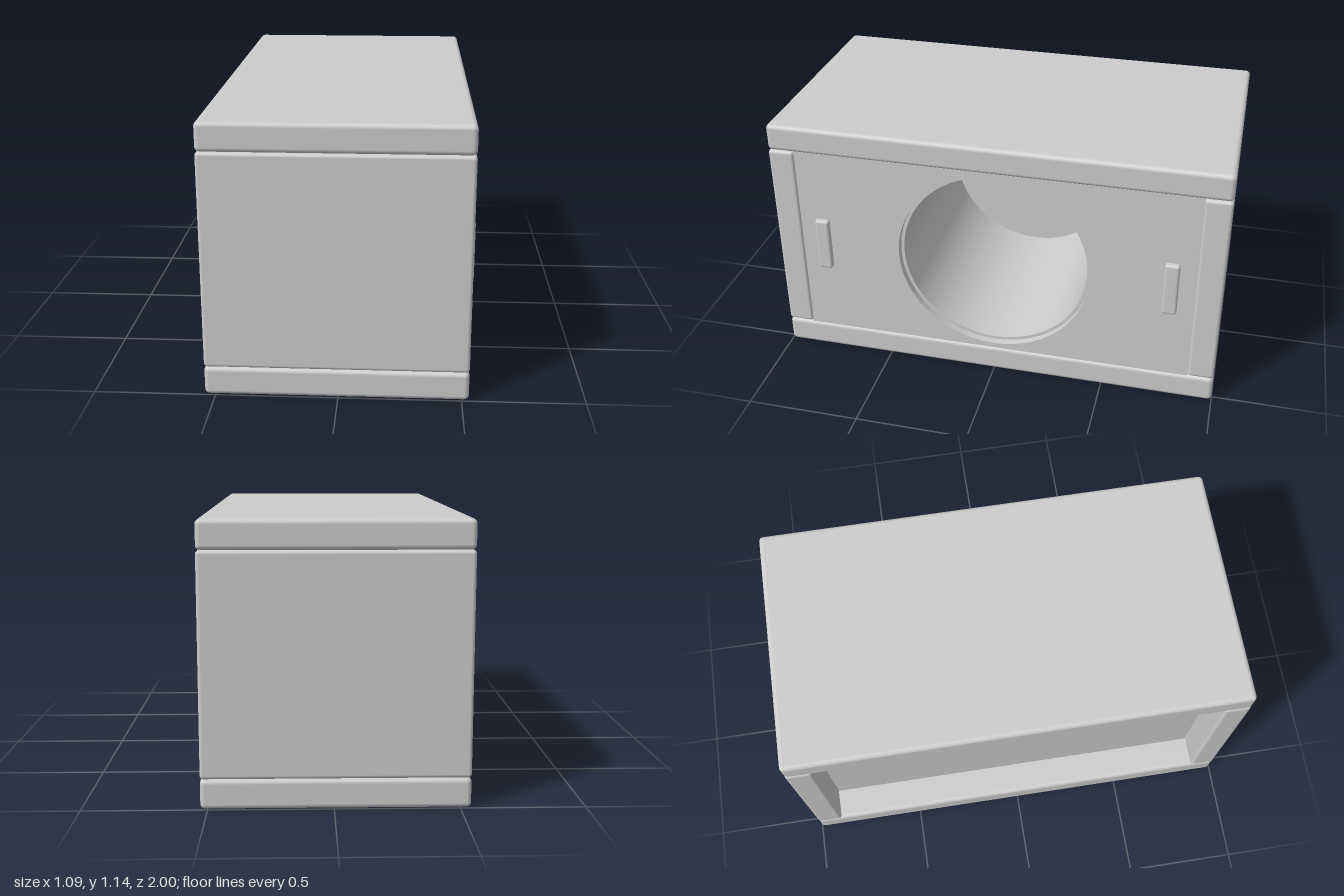
import * as THREE from 'three';
import { RoundedBoxGeometry } from 'three/addons/geometries/RoundedBoxGeometry.js';

export function createModel() {
  const model = new THREE.Group();
  model.name = 'speakerCabinet';
  const grey = new THREE.MeshStandardMaterial({ color: 0xcccccc });
  grey.name = 'light grey';

  const add = (name, geometry) => {
    const mesh = new THREE.Mesh(geometry, grey);
    mesh.name = name;
    model.add(mesh);
    return mesh;
  };

  // Rounded board given by its two opposite corners
  const board = (name, [x0, y0, z0], [x1, y1, z1], radius) =>
    add(name, new RoundedBoxGeometry(x1 - x0, y1 - y0, z1 - z0, 4, radius))
      .position.set((x0 + x1) / 2, (y0 + y1) / 2, (z0 + z1) / 2);

  // Upright slab between the end walls, with an optional round hole
  const midY = 0.573, halfHeight = 0.455, halfLength = 0.884;
  const slab = (name, x0, x1, holeRadius) => {
    const shape = new THREE.Shape();
    shape.moveTo(-halfLength, -halfHeight);
    shape.lineTo(halfLength, -halfHeight);
    shape.lineTo(halfLength, halfHeight);
    shape.lineTo(-halfLength, halfHeight);
    shape.closePath();
    if (holeRadius) {
      shape.holes.push(new THREE.Path().absarc(0, 0, holeRadius, 0, Math.PI * 2, true));
    }
    const geometry = new THREE.ExtrudeGeometry(shape, { depth: x1 - x0, bevelEnabled: false, curveSegments: 64 });
    geometry.rotateY(Math.PI / 2);
    add(name, geometry).position.set(x0, midY, 0);
  };

  // Outer case: bottom, top and the two end walls
  board('bottomBoard', [-0.545, 0, -1], [0.53, 0.122, 1], 0.02);
  board('topBoard', [-0.545, 1.025, -1], [0.53, 1.145, 1], 0.02);
  board('frontWall', [-0.545, 0.122, 0.884], [0.53, 1.025, 1], 0.015);
  board('backWall', [-0.545, 0.122, -1], [0.53, 1.025, -0.884], 0.015);

  // Face panel with a stepped bore, closed by a recessed rear panel
  slab('facePanel', 0.49, 0.522, 0.43);
  slab('boreBlock', -0.38, 0.49, 0.415);
  slab('rearPanel', -0.405, -0.38);

  // Raised grips either side of the bore
  for (const z of [0.78, -0.78]) {
    board('grip', [0.5, 0.45, z - 0.032], [0.545, 0.7, z + 0.032], 0.012);
  }
  return model;
}
